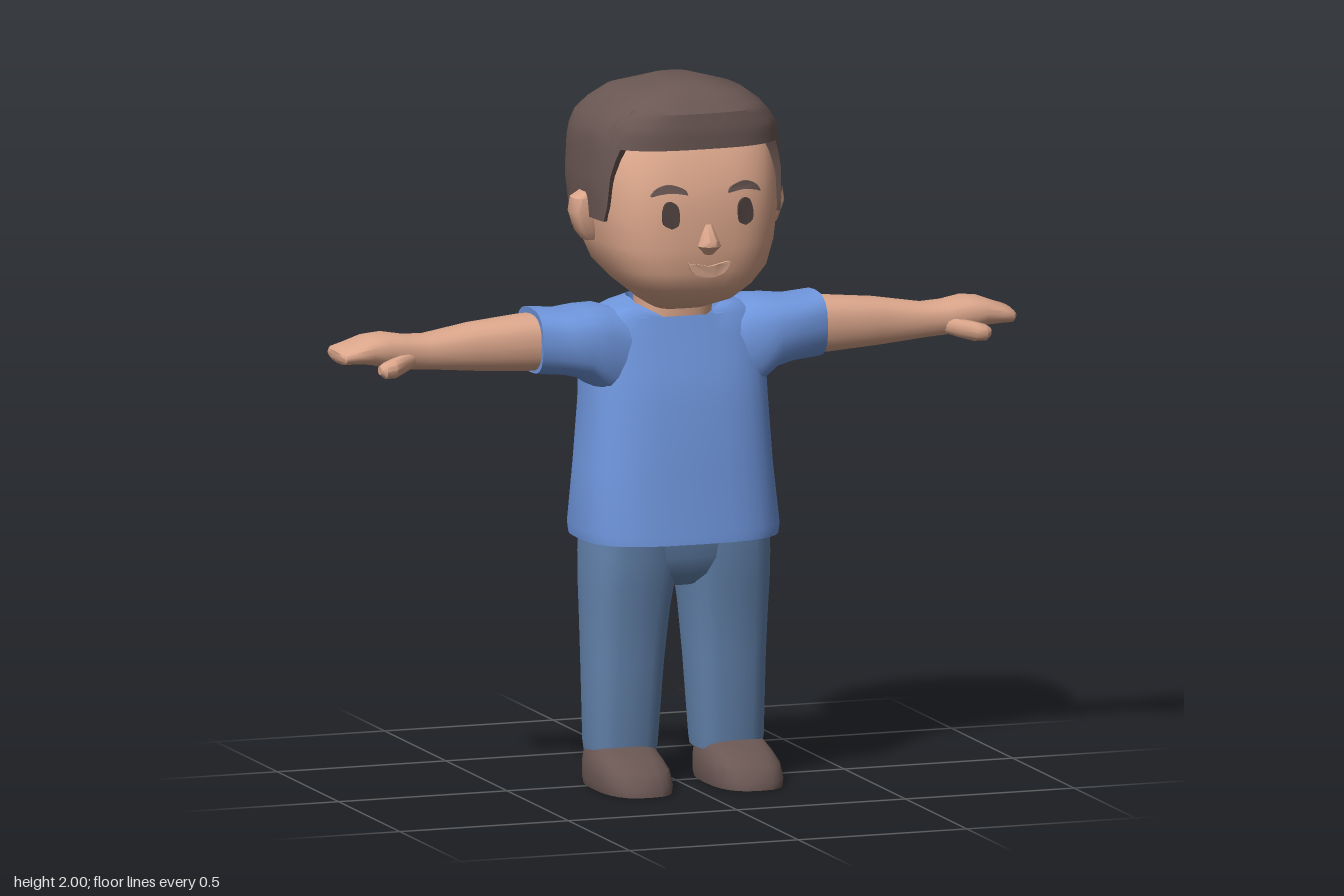
import * as THREE from 'three';
import { toCreasedNormals } from 'three/addons/utils/BufferGeometryUtils.js';

const mat = (name, color) => {
  const m = new THREE.MeshStandardMaterial({ color });
  m.name = name;
  return m;
};

// Linear lookup in a table of rows [t, a, b, ...]
function sample(rows, t) {
  let i = 0;
  while (i < rows.length - 2 && t > rows[i + 1][0]) i++;
  const k = THREE.MathUtils.clamp((t - rows[i][0]) / (rows[i + 1][0] - rows[i][0]), 0, 1);
  return rows[i].map((v, j) => v + (rows[i + 1][j] - v) * k);
}

// Point on a rounded-rectangle section [t, aMin, aMax, bMin, bMax]
function onSection([, a0, a1, b0, b1], angle, n) {
  const pow = (v) => Math.sign(v) * Math.abs(v) ** (2 / n);
  return [
    (a0 + a1) / 2 + ((a1 - a0) / 2) * pow(Math.cos(angle)),
    (b0 + b1) / 2 + ((b1 - b0) / 2) * pow(Math.sin(angle)),
  ];
}

// Closed tube of rows x cols points, capped at both ends
function skinned(rows, cols, point, flip = false) {
  const pos = [], idx = [];
  const tri = (a, b, c) => (flip ? idx.push(a, c, b) : idx.push(a, b, c));
  const centers = [];
  for (let i = 0; i < rows; i++) {
    const c = new THREE.Vector3();
    for (let j = 0; j < cols; j++) {
      const p = point(i, (j / cols) * Math.PI * 2);
      pos.push(...p);
      c.add(new THREE.Vector3(...p).divideScalar(cols));
    }
    centers.push(c);
  }
  for (let i = 0; i < rows - 1; i++) for (let j = 0; j < cols; j++) {
    const a = i * cols + j, b = i * cols + ((j + 1) % cols);
    tri(a, a + cols, b);
    tri(b, a + cols, b + cols);
  }
  pos.push(...centers[0].toArray(), ...centers[rows - 1].toArray());
  const lo = rows * cols, last = (rows - 1) * cols;
  for (let j = 0; j < cols; j++) {
    const k = (j + 1) % cols;
    tri(lo, j, k);
    tri(lo + 1, last + k, last + j);
  }
  const g = new THREE.BufferGeometry();
  g.setAttribute('position', new THREE.Float32BufferAttribute(pos, 3));
  g.setIndex(idx);
  return g;
}

// Loft through sections along 'y' (x, z extents) or 'x' (y, z extents)
function loft(axis, sections, { n = 2.6, cols = 20, warp = (p) => p, side = 1 } = {}) {
  return skinned(sections.length, cols, (i, angle) => {
    const [a, b] = onSection(sections[i], angle, n);
    const t = sections[i][0];
    const p = warp(axis === 'y' ? [a, t, b] : [t, a, b]);
    return [p[0] * side, p[1], p[2]];
  }, (axis === 'x') !== (side < 0));
}

const HEAD = [
  [1.35, -0.08, 0.08, -0.1, 0.08], [1.39, -0.13, 0.13, -0.14, 0.21], [1.43, -0.18, 0.18, -0.18, 0.25],
  [1.48, -0.225, 0.225, -0.225, 0.268], [1.55, -0.25, 0.25, -0.268, 0.272], [1.64, -0.263, 0.263, -0.28, 0.27],
  [1.73, -0.262, 0.262, -0.28, 0.258], [1.82, -0.255, 0.255, -0.27, 0.215], [1.9, -0.2, 0.2, -0.2, 0.16],
];
const HAIR = [
  [1.5, -0.258, 0.258, -0.275, 0.28], [1.56, -0.268, 0.268, -0.289, 0.285], [1.71, -0.28, 0.28, -0.315, 0.278],
  [1.83, -0.275, 0.275, -0.302, 0.253], [1.88, -0.265, 0.265, -0.288, 0.253], [1.93, -0.225, 0.225, -0.24, 0.245],
  [1.97, -0.17, 0.17, -0.18, 0.2], [2, -0.06, 0.06, -0.07, 0.14],
];
// Height of the hairline for a depth z
const HAIRLINE = [[-0.32, 1.52], [0.04, 1.62], [0.14, 1.62], [0.165, 1.74], [0.2, 1.83], [0.3, 1.83]];

function hairGeometry() {
  const rows = 14;
  return skinned(rows, 72, (i, angle) => {
    const z = onSection(sample(HAIR, 1.7), angle, 3)[1];
    const low = sample(HAIRLINE, z)[1];
    const y = low + (2 - low) * (Math.max(i - 1, 0) / (rows - 2));
    const [px, pz] = onSection(sample(HAIR, y), angle, 3);
    const s = i === 0 ? 0.8 : 1; // inner rim under the hairline
    return [px * s, y, pz * s];
  });
}

function faceZ(x, y) {
  const [, , w, z0, z1] = sample(HEAD, y);
  const r = Math.min(Math.abs(x) / w, 1);
  return (z0 + z1) / 2 + ((z1 - z0) / 2) * (1 - r ** 3) ** (1 / 3);
}

// Thin plate wrapped onto the face
function facePlate(points) {
  const shape = new THREE.Shape(new THREE.SplineCurve([...points, points[0]].map((p) => new THREE.Vector2(...p))).getPoints(24).slice(0, -1));
  const g = new THREE.ExtrudeGeometry(shape, { depth: 0.009, bevelEnabled: false });
  const p = g.attributes.position;
  for (let i = 0; i < p.count; i++) p.setZ(i, p.getZ(i) + faceZ(p.getX(i), p.getY(i)));
  return g;
}

export function createModel() {
  const group = new THREE.Group();
  const skin = mat('skin', 0xdba68b), brown = mat('hair brown', 0x6a5753), shirt = mat('shirt blue', 0x6f96dd);
  const denim = mat('denim', 0x6484ae), dark = mat('eye dark', 0x4d403e), lip = mat('lip', 0xe3b096);
  const add = (name, geometry, material, crease = 0.7) => {
    const mesh = new THREE.Mesh(toCreasedNormals(geometry, crease), material);
    mesh.name = name;
    group.add(mesh);
  };

  // Head
  add('head', loft('y', HEAD, { n: 3, cols: 40 }), skin);
  add('hair', hairGeometry(), brown, 0.6);
  add('neck', loft('y', [[1.22, -0.11, 0.11, -0.13, 0.07], [1.33, -0.105, 0.105, -0.125, 0.075], [1.45, -0.11, 0.11, -0.13, 0.08]]), skin);
  add('nose', loft('y', [[1.535, -0.015, 0.015, 0.24, 0.28], [1.56, -0.034, 0.034, 0.24, 0.308], [1.575, -0.028, 0.028, 0.24, 0.308], [1.62, -0.012, 0.012, 0.24, 0.275]], { n: 2, cols: 10 }), skin);
  add('mouth', facePlate([[-0.062, 1.512], [-0.03, 1.508], [0, 1.502], [0.03, 1.508], [0.062, 1.512], [0.045, 1.482], [0, 1.468], [-0.045, 1.482]]), lip);

  // Torso
  add('shirtBody', loft('y', [
    [0.7, -0.285, 0.285, -0.235, 0.195], [0.73, -0.29, 0.29, -0.232, 0.192], [0.9, -0.275, 0.275, -0.215, 0.165],
    [1.08, -0.263, 0.263, -0.2, 0.15], [1.18, -0.262, 0.262, -0.19, 0.125], [1.27, -0.262, 0.262, -0.178, 0.1],
    [1.33, -0.235, 0.235, -0.165, 0.085], [1.355, -0.18, 0.18, -0.15, 0.08], [1.37, -0.125, 0.125, -0.14, 0.082],
    [1.3, -0.1, 0.1, -0.12, 0.06],
  ], {
    n: 3, cols: 32, // front of the collar dips to a shallow V
    warp: ([x, y, z]) => [x, y > 1.34 && z > 0 ? y - 0.075 * Math.max(0, 1 - Math.abs(x) / 0.14) : y, z],
  }), shirt);
  add('trouserSeat', loft('y', [[0.565, -0.04, 0.04, -0.1, 0.07], [0.6, -0.2, 0.2, -0.14, 0.11], [0.65, -0.255, 0.255, -0.16, 0.13], [0.74, -0.262, 0.262, -0.17, 0.14]], { n: 3 }), denim);

  for (const side of [1, -1]) {
    const label = side > 0 ? 'left' : 'right';
    // Face details
    const flip = (pts) => pts.map(([x, y]) => [x * side, y]);
    add(label + 'Eye', facePlate(flip([[0.11, 1.612], [0.131, 1.625], [0.134, 1.655], [0.125, 1.682], [0.108, 1.688], [0.091, 1.675], [0.087, 1.65], [0.091, 1.622]])), dark);
    add(label + 'Eyebrow', facePlate(flip([[0.06, 1.705], [0.07, 1.722], [0.11, 1.735], [0.145, 1.725], [0.162, 1.703], [0.14, 1.708], [0.105, 1.712]])), brown);
    add(label + 'Ear', loft('y', [[1.55, 0.22, 0.275, -0.03, 0.025], [1.575, 0.22, 0.295, -0.037, 0.037], [1.63, 0.22, 0.314, -0.04, 0.044], [1.67, 0.22, 0.308, -0.038, 0.042], [1.688, 0.22, 0.28, -0.03, 0.035]], { n: 4, cols: 16, side }), skin);

    // Arms
    add(label + 'Sleeve', loft('x', [
      [0.15, 1.08, 1.34, -0.15, 0.09], [0.22, 1.1, 1.36, -0.168, 0.105], [0.28, 1.155, 1.358, -0.165, 0.112],
      [0.34, 1.17, 1.352, -0.15, 0.1], [0.422, 1.177, 1.36, -0.137, 0.083], [0.42, 1.2, 1.34, -0.11, 0.06],
    ], { n: 2.8, side }), shirt);
    add(label + 'Arm', loft('x', [
      [0.36, 1.185, 1.345, -0.115, 0.065], [0.45, 1.185, 1.342, -0.113, 0.063], [0.6, 1.195, 1.328, -0.1, 0.053],
      [0.74, 1.208, 1.305, -0.088, 0.045], [0.8, 1.212, 1.308, -0.09, 0.047], [0.86, 1.22, 1.318, -0.1, 0.055],
      [0.91, 1.232, 1.312, -0.105, 0.055], [0.96, 1.236, 1.292, -0.11, 0.052], [0.99, 1.236, 1.282, -0.11, 0.045], [1, 1.248, 1.272, -0.09, 0.03],
    ], { side }), skin);
    add(label + 'Thumb', loft('x', [
      [0.78, 1.225, 1.27, 0, 0.04], [0.82, 1.212, 1.265, 0.015, 0.068], [0.86, 1.202, 1.258, 0.03, 0.1],
      [0.89, 1.203, 1.25, 0.05, 0.102], [0.905, 1.215, 1.24, 0.06, 0.09],
    ], { n: 2.2, cols: 12, side }), skin);

    // Legs and shoes
    add(label + 'TrouserLeg', loft('y', [
      [0.09, 0.062, 0.252, -0.118, 0.073], [0.12, 0.058, 0.256, -0.122, 0.078], [0.35, 0.042, 0.26, -0.137, 0.093],
      [0.5, 0.028, 0.264, -0.148, 0.11], [0.57, 0.018, 0.266, -0.156, 0.122], [0.65, 0.005, 0.266, -0.163, 0.132], [0.72, 0, 0.262, -0.165, 0.138],
    ], { n: 3, side }), denim);
    add(label + 'Shoe', loft('y', [
      [0, 0.062, 0.266, -0.122, 0.243], [0.02, 0.058, 0.27, -0.126, 0.24], [0.06, 0.06, 0.268, -0.125, 0.21],
      [0.085, 0.068, 0.26, -0.124, 0.16], [0.117, 0.08, 0.245, -0.118, 0.075],
    ], { n: 2.7, cols: 24, side }), brown);
  }
  return group;
}
